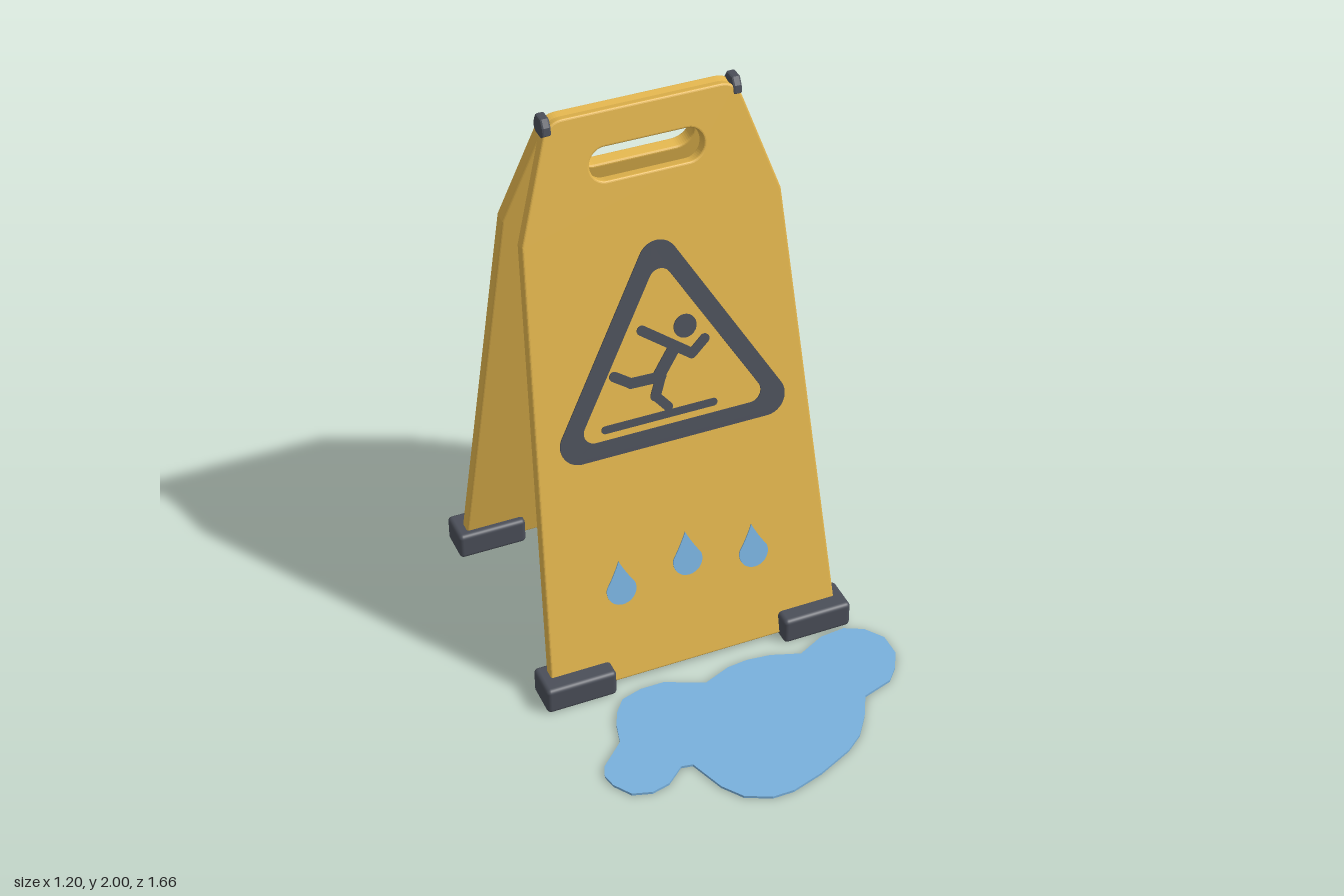
import * as THREE from 'three';
import { RoundedBoxGeometry } from 'three/addons/geometries/RoundedBoxGeometry.js';

const TILT = 0.215; // lean of each panel
const CX = -0.04, CZ = -0.326; // centre of the folding board
const { PI } = Math;

const material = (name, color, side = THREE.FrontSide) =>
  Object.assign(new THREE.MeshStandardMaterial({ color, side }), { name });

// Pill shape between two points
function pill(x1, y1, x2, y2, r, Kind = THREE.Shape) {
  const a = Math.atan2(y2 - y1, x2 - x1);
  const s = new Kind();
  s.absarc(x2, y2, r, a - PI / 2, a + PI / 2);
  s.absarc(x1, y1, r, a + PI / 2, a + PI * 1.5);
  s.closePath();
  return s;
}

// Upright triangle with rounded corners, given by its corner circles
function roundTriangle(half, base, top, r, Kind = THREE.Shape) {
  const a = Math.atan2(half, top - base);
  const s = new Kind();
  s.absarc(half, base, r, -PI / 2, a);
  s.absarc(0, top, r, a, PI - a);
  s.absarc(-half, base, r, PI - a, PI * 1.5);
  s.closePath();
  return s;
}

function dropShape(x, y) {
  const r = 0.053;
  const s = new THREE.Shape();
  s.moveTo(x, y + 0.16);
  s.quadraticCurveTo(x - 0.02, y + 0.115, x - r * 0.94, y + r * 1.34);
  s.absarc(x, y + r, r, PI - 0.35, PI * 2 + 0.35);
  s.quadraticCurveTo(x + 0.02, y + 0.115, x, y + 0.16);
  return s;
}

function panelShape() {
  const s = new THREE.Shape();
  s.moveTo(-0.53, 0.018);
  s.lineTo(0.53, 0.018);
  s.lineTo(0.445, 1.61);
  s.lineTo(0.34, 1.93);
  s.quadraticCurveTo(0.32, 1.99, 0.265, 1.99);
  s.lineTo(-0.265, 1.99);
  s.quadraticCurveTo(-0.32, 1.99, -0.34, 1.93);
  s.lineTo(-0.445, 1.61);
  s.closePath();
  s.holes.push(pill(-0.14, 1.818, 0.14, 1.818, 0.055, THREE.Path));
  return s;
}

export function createModel() {
  const yellow = material('yellow plastic', 0xe0b34c);
  const dark = material('dark grey rubber', 0x4a4e58);
  const blue = material('water blue', 0x78b0dc);

  const model = new THREE.Group();
  model.name = 'wetFloorSign';
  const add = (parent, name, geometry, mat) => {
    const mesh = new THREE.Mesh(geometry, mat);
    mesh.name = name;
    parent.add(mesh);
    return mesh;
  };

  const board = new THREE.Group();
  board.name = 'foldingBoard';
  board.position.set(CX, 0, CZ);
  model.add(board);

  // Shapes are drawn at upright heights, then stretched along the slope
  const stretch = 1 / Math.cos(TILT);
  const plate = (shapes) =>
    new THREE.ExtrudeGeometry(shapes, { depth: 0.005, bevelEnabled: false, curveSegments: 12 })
      .translate(0, 0, -0.001).scale(1, stretch, 1);

  const warning = roundTriangle(0.33, 0.91, 1.465, 0.07);
  warning.holes.push(roundTriangle(0.275, 0.94, 1.4, 0.04, THREE.Path));

  // Limbs of the slipping figure: x1, y1, x2, y2, radius
  const limbs = [
    [0.025, 1.16, -0.035, 1.08, 0.022],
    [-0.08, 1.245, 0.03, 1.165, 0.017],
    [0.03, 1.165, 0.085, 1.125, 0.017],
    [0.085, 1.125, 0.133, 1.165, 0.017],
    [-0.03, 1.072, -0.135, 1.075, 0.018],
    [-0.135, 1.075, -0.19, 1.112, 0.017],
    [-0.03, 1.075, -0.055, 1.01, 0.018],
    [-0.055, 1.01, -0.015, 0.962, 0.016],
    [-0.24, 0.937, 0.145, 0.937, 0.013],
  ].map((l) => pill(...l));
  const head = new THREE.Shape().absarc(0.07, 1.225, 0.04, 0, PI * 2);

  for (const [name, turn] of [['front', 0], ['back', PI]]) {
    const half = new THREE.Group();
    half.name = name + 'Half';
    half.rotation.y = turn;
    board.add(half);

    const leaf = new THREE.Group();
    leaf.name = name + 'Leaf';
    leaf.position.z = 0.464;
    leaf.rotation.x = -TILT;
    half.add(leaf);

    // Panel with grip hole, outer face at local z = 0
    const bevel = 0.007;
    add(leaf, name + 'Panel', new THREE.ExtrudeGeometry(panelShape(), {
      depth: 0.047 - 2 * bevel, bevelThickness: bevel, bevelSize: bevel,
      bevelOffset: -bevel, bevelSegments: 3, curveSegments: 12,
    }).translate(0, 0, bevel - 0.047).scale(1, stretch, 1), yellow);

    // Printed markings
    add(leaf, 'warningTriangle', plate(warning), dark);
    add(leaf, 'slippingFigure', plate([...limbs, head]), dark);
    add(leaf, 'waterDrops', plate([
      dropShape(-0.245, 0.3), dropShape(0, 0.34), dropShape(0.24, 0.3),
    ]), blue);

    // Rubber feet
    for (const side of [-1, 1]) {
      add(half, 'foot', new RoundedBoxGeometry(0.252, 0.1, 0.137, 3, 0.016), dark)
        .position.set(side * 0.4375, 0.05, 0.4355);
    }
  }

  // Hinge caps on the top corners
  const cap = new THREE.Shape([
    [-0.034, 1.952], [-0.022, 1.94], [0.022, 1.94], [0.034, 1.952],
    [0.03, 1.972], [0.017, 1.993], [-0.017, 1.993], [-0.03, 1.972],
  ].map((p) => new THREE.Vector2(...p)));
  for (const side of [-1, 1]) {
    add(board, 'hingeCap', new THREE.ExtrudeGeometry(cap, {
      depth: 0.018, bevelThickness: 0.007, bevelSize: 0.007, bevelSegments: 2,
    }).translate(0, 0, -0.009).rotateY(PI / 2), dark).position.x = side * 0.322;
  }

  // Puddle outline on the floor as x, z pairs
  const outline = [
    [-0.35, 0.215], [-0.275, 0.193], [-0.19, 0.193], [-0.06, 0.253], [0.04, 0.213],
    [0.115, 0.205], [0.2, 0.215], [0.3, 0.25], [0.4, 0.2], [0.49, 0.192],
    [0.555, 0.225], [0.6, 0.29], [0.6, 0.375], [0.565, 0.44], [0.52, 0.49],
    [0.41, 0.525], [0.365, 0.61], [0.31, 0.685], [0.245, 0.735], [0.115, 0.795],
    [0, 0.83], [-0.075, 0.83], [-0.16, 0.79], [-0.21, 0.72], [-0.255, 0.592],
    [-0.295, 0.585], [-0.36, 0.64], [-0.425, 0.655], [-0.49, 0.635], [-0.53, 0.575],
    [-0.54, 0.525], [-0.525, 0.485], [-0.435, 0.4], [-0.415, 0.32], [-0.39, 0.265],
  ].map(([x, z]) => new THREE.Vector2(x, -z));
  add(model, 'puddle', new THREE.ExtrudeGeometry(new THREE.Shape(outline), {
    depth: 0.009, bevelEnabled: false,
  }).rotateX(-PI / 2), blue);

  return model;
}
